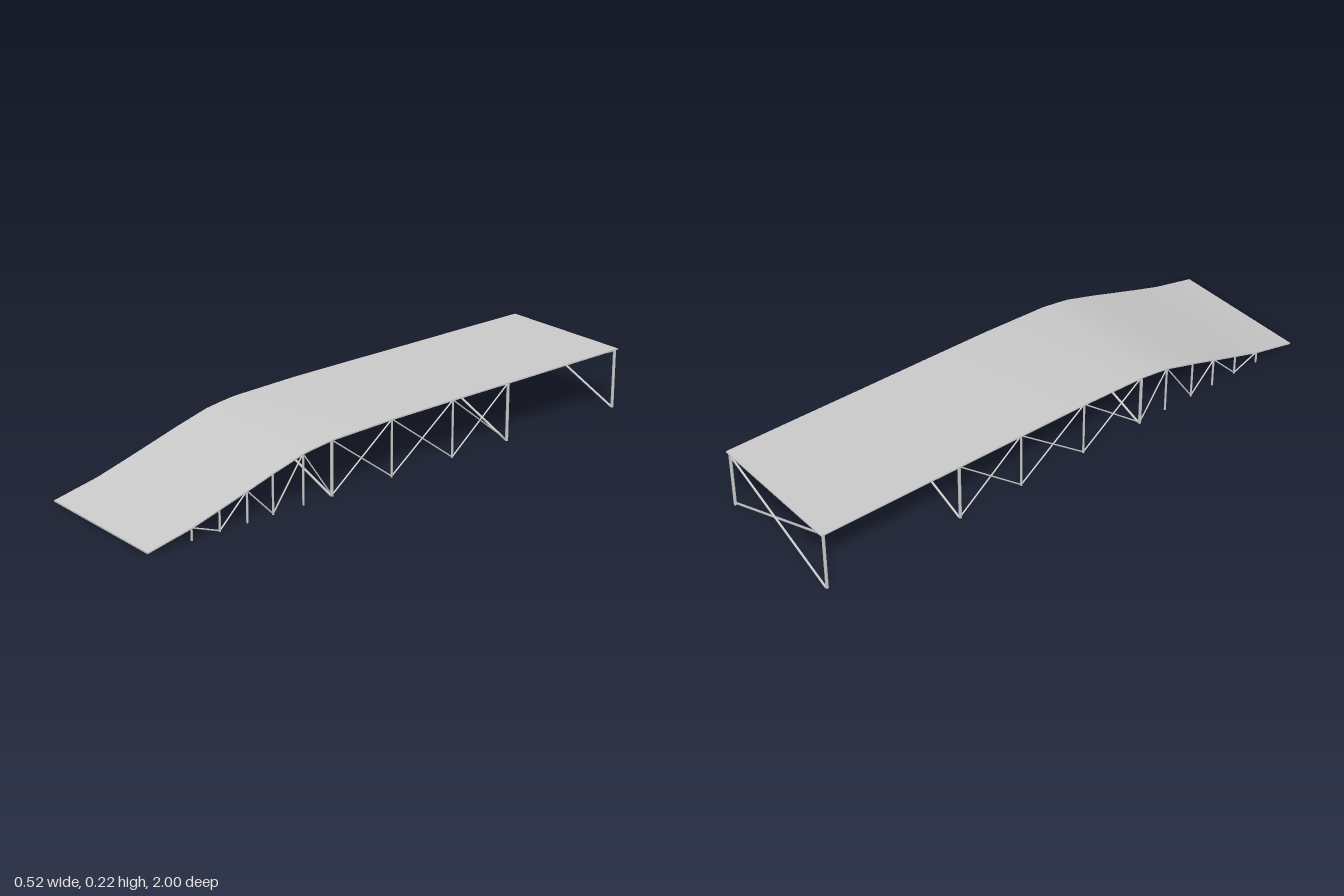
import * as THREE from 'three';
import { toCreasedNormals } from 'three/addons/utils/BufferGeometryUtils.js';

const material = new THREE.MeshStandardMaterial({ color: 0xcccccc });
const HALF_WIDTH = 0.26, THICKNESS = 0.005, SIDE_X = 0.254, FOOT = 0.007;

// Top line of the deck as [z, y], from the low front end to the back
const profile = [
  [1, 0.013], [0.835, 0.05], [0.73, 0.082], [0.625, 0.115], [0.525, 0.147], [0.405, 0.182], [0.35, 0.191],
  [0.29, 0.199], [0.04, 0.209], [-0.225, 0.213], [-0.475, 0.216], [-0.74, 0.22], [-1, 0.223],
];

// Height of the deck underside at z
function underside(z) {
  const i = Math.max(1, profile.findIndex((p) => p[0] <= z));
  const [z0, y0] = profile[i - 1], [z1, y1] = profile[i];
  return y0 + ((y1 - y0) * (z - z0)) / (z1 - z0) - THICKNESS;
}

// Round bar between two points
function bar(name, a, b, radius) {
  const from = new THREE.Vector3(...a), to = new THREE.Vector3(...b);
  const dir = to.clone().sub(from);
  const mesh = new THREE.Mesh(new THREE.CylinderGeometry(radius, radius, dir.length(), 8), material);
  mesh.position.copy(from).add(to).multiplyScalar(0.5);
  mesh.quaternion.setFromUnitVectors(new THREE.Vector3(0, 1, 0), dir.normalize());
  mesh.name = name;
  return mesh;
}

// Thin curved plate
function makeDeck() {
  const shape = new THREE.Shape([
    ...profile.map(([z, y]) => new THREE.Vector2(z, y)),
    ...profile.slice().reverse().map(([z, y]) => new THREE.Vector2(z, y - THICKNESS)),
  ]);
  const geometry = new THREE.ExtrudeGeometry(shape, { depth: 2 * HALF_WIDTH, bevelEnabled: false });
  geometry.rotateY(-Math.PI / 2).translate(HALF_WIDTH, 0, 0);
  const deck = new THREE.Mesh(toCreasedNormals(geometry, 0.6), material);
  deck.name = 'deck';
  return deck;
}

// Posts and diagonals under one edge
function makeSideTruss(x, name) {
  const truss = new THREE.Group();
  truss.name = name;
  const top = (z) => [x, underside(z) + 0.001, z];
  const foot = (z) => [x, FOOT, z];
  const thin = [0.835, 0.73, 0.625, 0.525, 0.405, 0.04, -0.225];
  const thick = [0.29, -0.475, -0.99];
  for (const z of thin) truss.add(bar('post', [x, 0.004, z], top(z), 0.0038));
  for (const z of thick) truss.add(bar('mainPost', [x, 0.004, z], top(z), 0.0055));

  // Zigzag below the ramp
  const zigzag = [0.835, 0.73, 0.625, 0.525, 0.405, 0.29];
  for (let i = 0; i + 1 < zigzag.length; i++) {
    const [a, b] = [zigzag[i], zigzag[i + 1]];
    const ends = i % 2 ? [foot(a), top(b)] : [top(a), foot(b)];
    truss.add(bar('rampDiagonal', ...ends, 0.0026));
  }

  // Crossed diagonals below the level stretch
  const bays = [0.29, 0.04, -0.225, -0.475];
  for (let i = 0; i + 1 < bays.length; i++) {
    truss.add(bar('sideBrace', top(bays[i]), foot(bays[i + 1]), 0.0026));
    truss.add(bar('sideBrace', foot(bays[i]), top(bays[i + 1]), 0.0026));
  }
  return truss;
}

export function createModel() {
  const model = new THREE.Group();
  model.name = 'rampBridge';
  model.add(makeDeck(), makeSideTruss(SIDE_X, 'leftTruss'), makeSideTruss(-SIDE_X, 'rightTruss'));

  // Crossed braces between the main posts
  for (const z of [0.29, -0.475, -0.99]) {
    const cross = new THREE.Group();
    cross.name = 'crossBrace';
    for (const s of [1, -1]) {
      const dz = s * 0.004;
      cross.add(bar('brace', [s * SIDE_X, FOOT, z + dz], [-s * SIDE_X, underside(z) - 0.003, z + dz], 0.004));
    }
    model.add(cross);
  }

  // Rest the lowest point on the ground
  model.position.y = -new THREE.Box3().setFromObject(model).min.y;
  return model;
}
